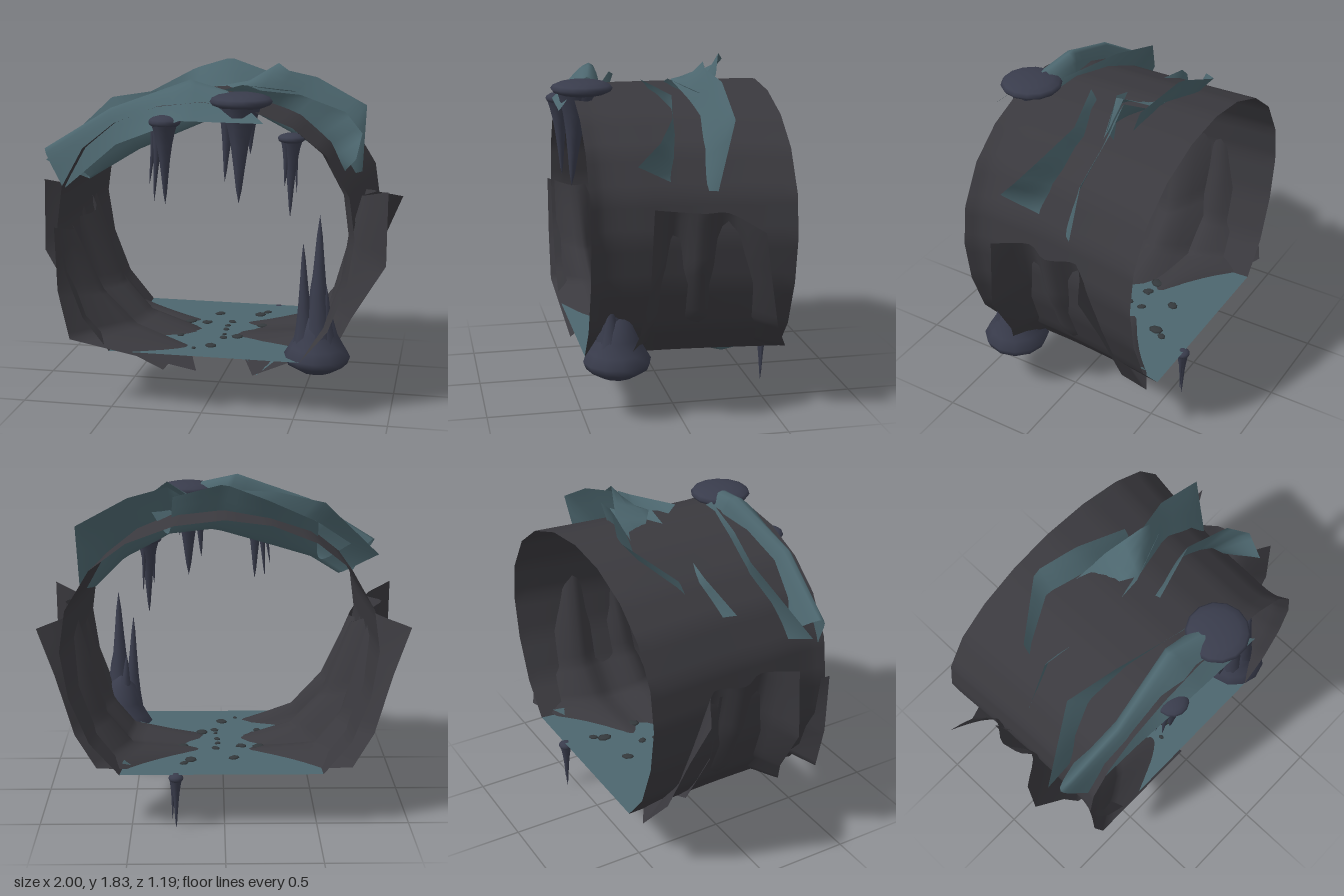
import * as THREE from 'three';

const mat = (color, side = THREE.FrontSide) =>
  new THREE.MeshStandardMaterial({ color, side });
const rock = mat(0x3a393e, THREE.DoubleSide);
const slate = mat(0x4c666e, THREE.DoubleSide);
const drip = mat(0x393c4c);
const pebbleMat = mat(0x34393c);

// Point at fraction t along a polyline
function along(points, t) {
  const f = t * (points.length - 1);
  const i = Math.min(Math.floor(f), points.length - 2);
  return new THREE.Vector3(...points[i]).lerp(new THREE.Vector3(...points[i + 1]), f - i);
}

// Sheet running smoothly across a list of polylines
function sheet(name, material, rows, nu = 24, nv = 16) {
  const pos = [], index = [];
  for (let i = 0; i <= nu; i++) {
    const cross = new THREE.CatmullRomCurve3(rows.map((r) => along(r, i / nu)));
    for (let j = 0; j <= nv; j++) {
      pos.push(...cross.getPoint(j / nv).toArray());
      if (i < nu && j < nv) {
        const a = i * (nv + 1) + j, b = a + nv + 1;
        index.push(a, b, a + 1, b, b + 1, a + 1);
      }
    }
  }
  const geo = new THREE.BufferGeometry();
  geo.setAttribute('position', new THREE.Float32BufferAttribute(pos, 3));
  geo.setIndex(index);
  geo.computeVertexNormals();
  const mesh = new THREE.Mesh(geo, material);
  mesh.name = name;
  return mesh;
}

const mirror = (rows) => rows.map((r) => r.map(([x, y, z]) => [-x, y, z]));

// Rounded rock base; w is its radius, h its half height
function blob(x, y, z, w, h) {
  const mesh = new THREE.Mesh(new THREE.SphereGeometry(1, 14, 8), drip);
  mesh.scale.set(w, h, w);
  mesh.position.set(x, y, z);
  mesh.name = 'dripstoneBase';
  return mesh;
}

// Thin concave spike from a wide root to a tip
function spike(root, tip, r) {
  const a = new THREE.Vector3(...root), d = new THREE.Vector3(...tip).sub(a);
  const len = d.length();
  const profile = [[1, 0], [0.8, 0.1], [0.58, 0.26], [0.42, 0.43], [0.27, 0.65], [0.14, 0.86], [0, 1]]
    .map(([k, t]) => new THREE.Vector2(k * r, t * len));
  const mesh = new THREE.Mesh(new THREE.LatheGeometry(profile, 9), drip);
  mesh.position.copy(a);
  mesh.quaternion.setFromUnitVectors(new THREE.Vector3(0, 1, 0), d.normalize());
  mesh.name = 'spike';
  return mesh;
}

function cluster(name, ...parts) {
  const g = new THREE.Group();
  g.name = name;
  g.add(...parts);
  return g;
}

export function createModel() {
  const model = new THREE.Group();

  // Tunnel shell: stations hold depth and the width factors of the -x and +x halves
  const half = [[0.5, 0.32], [0.64, 0.5], [0.73, 0.75], [0.765, 1.0], [0.735, 1.22],
    [0.62, 1.43], [0.45, 1.57], [0.23, 1.66]];
  const ring = [...half, [0, 1.69], ...half.map(([x, y]) => [-x, y]).reverse()];
  const stations = [[0.48, 1.03, 1.05], [0.4, 1.01, 1.0], [0.2, 1.01, 1.0], [0, 1.01, 1.01],
    [-0.3, 1.03, 1.06], [-0.57, 1.05, 1.12]];
  const stretch = (x, l, r) => x * (x < 0 ? l : r);
  model.add(sheet('tunnelWall', rock, stations.map(([z, l, r]) =>
    ring.map(([x, y]) => [stretch(x, l, r), y, z])), 64, 20));

  // Floor
  model.add(sheet('floor', slate, stations.map(([z, l, r]) =>
    [-0.5, 0, 0.5].map((x) => [stretch(x, l, r), 0.322, z])), 4, 10));

  // Rippled side slabs that cross the wall and curl under the floor
  const side = [
    [[0.95, 1.2, 0.19], [0.95, 0.8, 0.21], [0.77, 0.5, 0.23], [0.7, 0.36, 0.27], [0.25, 0.18, 0.33]],
    [[0.8, 1.15, 0.06], [0.72, 0.85, 0.06], [0.64, 0.56, 0.08], [0.5, 0.38, 0.1], [0.12, 0.315, 0.1]],
    [[0.87, 1.15, -0.08], [0.81, 0.85, -0.08], [0.69, 0.55, -0.1], [0.52, 0.35, -0.1], [0.1, 0.31, -0.1]],
    [[0.8, 1.13, -0.22], [0.72, 0.85, -0.24], [0.64, 0.56, -0.26], [0.5, 0.38, -0.25], [0.12, 0.315, -0.2]],
    [[1.0, 1.07, -0.36], [0.9, 0.82, -0.42], [0.8, 0.52, -0.49], [0.68, 0.36, -0.57], [0.2, 0.24, -0.3]],
  ];
  model.add(sheet('leftSideSlab', rock, side), sheet('rightSideSlab', rock, mirror(side)));

  // Curtain of rock sweeping down the inside of one wall
  model.add(sheet('wallCurtain', rock, [
    [[-0.8, 1.0, 0.5], [-0.79, 0.65, 0.5], [-0.73, 0.38, 0.5], [-0.03, 0.24, 0.48]],
    [[-0.74, 0.96, 0.34], [-0.58, 0.62, 0.32], [-0.4, 0.43, 0.3], [-0.12, 0.325, 0.3]],
    [[-0.8, 0.98, 0.2], [-0.7, 0.6, 0.2], [-0.5, 0.36, 0.2], [-0.25, 0.3, 0.2]],
    [[-0.71, 1.0, 0.02], [-0.55, 0.6, 0], [-0.38, 0.42, 0], [-0.1, 0.325, 0]],
    [[-0.82, 1.1, -0.2], [-0.77, 0.7, -0.22], [-0.58, 0.34, -0.25], [-0.25, 0.22, -0.3]],
  ]));

  // Ceiling slabs: hollows hang inside, edges break through the roof
  model.add(sheet('frontCeilingSlab', slate, [
    [[-0.76, 1.2, 0.44], [-0.45, 1.46, 0.5], [-0.1, 1.6, 0.55], [0.34, 1.6, 0.57]],
    [[-0.88, 1.41, 0.37], [-0.5, 1.64, 0.4], [-0.08, 1.79, 0.34], [0.12, 1.74, 0.38]],
    [[-0.66, 1.23, 0.27], [-0.38, 1.4, 0.28], [-0.02, 1.56, 0.27], [0.25, 1.6, 0.3]],
    [[-0.9, 1.33, 0.3], [-0.57, 1.66, 0.13], [-0.3, 1.71, 0.2], [0.08, 1.71, 0.3]],
  ], 18));
  model.add(sheet('rightCeilingSlab', slate, [
    [[-0.7, 1.46, -0.03], [-0.5, 1.6, -0.1], [-0.2, 1.63, -0.05], [0.12, 1.72, -0.05], [0.4, 1.68, -0.16]],
    [[-0.52, 1.4, -0.14], [-0.27, 1.48, -0.17], [0.05, 1.57, -0.16], [0.3, 1.55, -0.2]],
    [[-0.5, 1.62, -0.25], [-0.22, 1.77, -0.44], [0, 1.84, -0.36], [0.27, 1.76, -0.28]],
  ], 16));
  model.add(sheet('leftCeilingSlab', slate, [
    [[0.13, 1.72, 0.1], [0.45, 1.68, 0], [0.7, 1.6, 0.05], [0.8, 1.5, 0.13], [0.78, 1.38, 0.24]],
    [[0.15, 1.6, -0.02], [0.35, 1.49, -0.05], [0.54, 1.39, -0.05], [0.69, 1.24, -0.04]],
    [[0.14, 1.71, -0.25], [0.3, 1.8, -0.2], [0.51, 1.75, -0.25], [0.79, 1.6, -0.25], [0.78, 1.24, -0.17]],
  ], 16));

  // Loose plate on the roof
  model.add(sheet('roofPlate', slate, [
    [[-0.18, 1.66, -0.3], [0.12, 1.72, -0.27], [0.3, 1.83, -0.2], [0.45, 1.72, -0.2]],
    [[-0.02, 1.64, -0.19], [0.14, 1.72, -0.06], [0.38, 1.62, -0.13]],
  ], 6, 4));

  // Broken slab under the floor
  model.add(sheet('underfloorSlab', slate, [
    [[0.12, 0.32, 0.15], [0.27, 0.18, 0.32], [0.48, 0.36, 0.3]],
    [[0.14, 0.3, 0], [0.3, 0.29, 0], [0.5, 0.33, 0]],
    [[0.14, 0.32, -0.2], [0.38, 0.25, -0.3], [0.55, 0.36, -0.5]],
  ], 8, 6));

  // Hanging dripstones
  model.add(cluster('largeStalactites',
    blob(0.2, 1.695, 0.43, 0.165, 0.045),
    spike([0.2, 1.69, 0.46], [0.2, 1.17, 0.49], 0.11),
    spike([0.14, 1.68, 0.46], [0.125, 1.28, 0.48], 0.06),
    spike([0.25, 1.68, 0.42], [0.25, 1.42, 0.43], 0.06)));
  model.add(cluster('smallStalactites',
    blob(-0.19, 1.585, 0.49, 0.085, 0.035),
    spike([-0.19, 1.58, 0.5], [-0.19, 1.15, 0.49], 0.07),
    spike([-0.22, 1.58, 0.49], [-0.25, 1.16, 0.49], 0.04),
    spike([-0.24, 1.56, 0.48], [-0.28, 1.24, 0.47], 0.03)));
  model.add(cluster('innerStalactites',
    blob(0.42, 1.46, 0.12, 0.075, 0.03),
    spike([0.42, 1.45, 0.12], [0.42, 1.03, 0.14], 0.06),
    spike([0.4, 1.45, 0.14], [0.39, 1.2, 0.15], 0.035),
    spike([0.44, 1.45, 0.1], [0.45, 1.16, 0.1], 0.025)));
  model.add(cluster('lowerStalactite',
    blob(0.26, 0.3, -0.56, 0.04, 0.025),
    spike([0.26, 0.3, -0.56], [0.26, 0.01, -0.56], 0.035),
    spike([0.275, 0.29, -0.56], [0.28, 0.06, -0.56], 0.02)));

  // Standing dripstone
  const foot = [[0, 0.23], [0.09, 0.235], [0.165, 0.28], [0.18, 0.32], [0.15, 0.37], [0.11, 0.44], [0.08, 0.54], [0, 0.62]];
  const base = new THREE.Mesh(new THREE.LatheGeometry(foot.map(([x, y]) => new THREE.Vector2(x, y)), 12), drip);
  base.position.set(0.6, 0, 0.32);
  base.name = 'stalagmiteBase';
  model.add(cluster('stalagmite', base,
    spike([0.61, 0.32, 0.35], [0.61, 1.1, 0.36], 0.11),
    spike([0.54, 0.33, 0.35], [0.525, 0.95, 0.37], 0.08),
    spike([0.58, 0.33, 0.29], [0.565, 0.74, 0.29], 0.08),
    spike([0.64, 0.33, 0.36], [0.65, 0.72, 0.36], 0.1)));

  // Flat pebbles strewn over the floor
  let seed = 7;
  const rand = () => (seed = (seed * 16807) % 2147483647) / 2147483647;
  const pebbles = new THREE.Group();
  pebbles.name = 'pebbles';
  for (let i = 0; i < 18; i++) {
    const p = new THREE.Mesh(new THREE.SphereGeometry(1, 7, 4), pebbleMat);
    const r = 0.01 + 0.03 * rand() ** 3;
    p.scale.set(r * 1.3, 0.008, r);
    p.position.set(-0.22 + 0.5 * rand(), 0.323, -0.45 + 0.85 * rand());
    p.rotation.y = rand() * 3;
    p.name = 'pebble';
    pebbles.add(p);
  }
  model.add(pebbles);
  return model;
}
